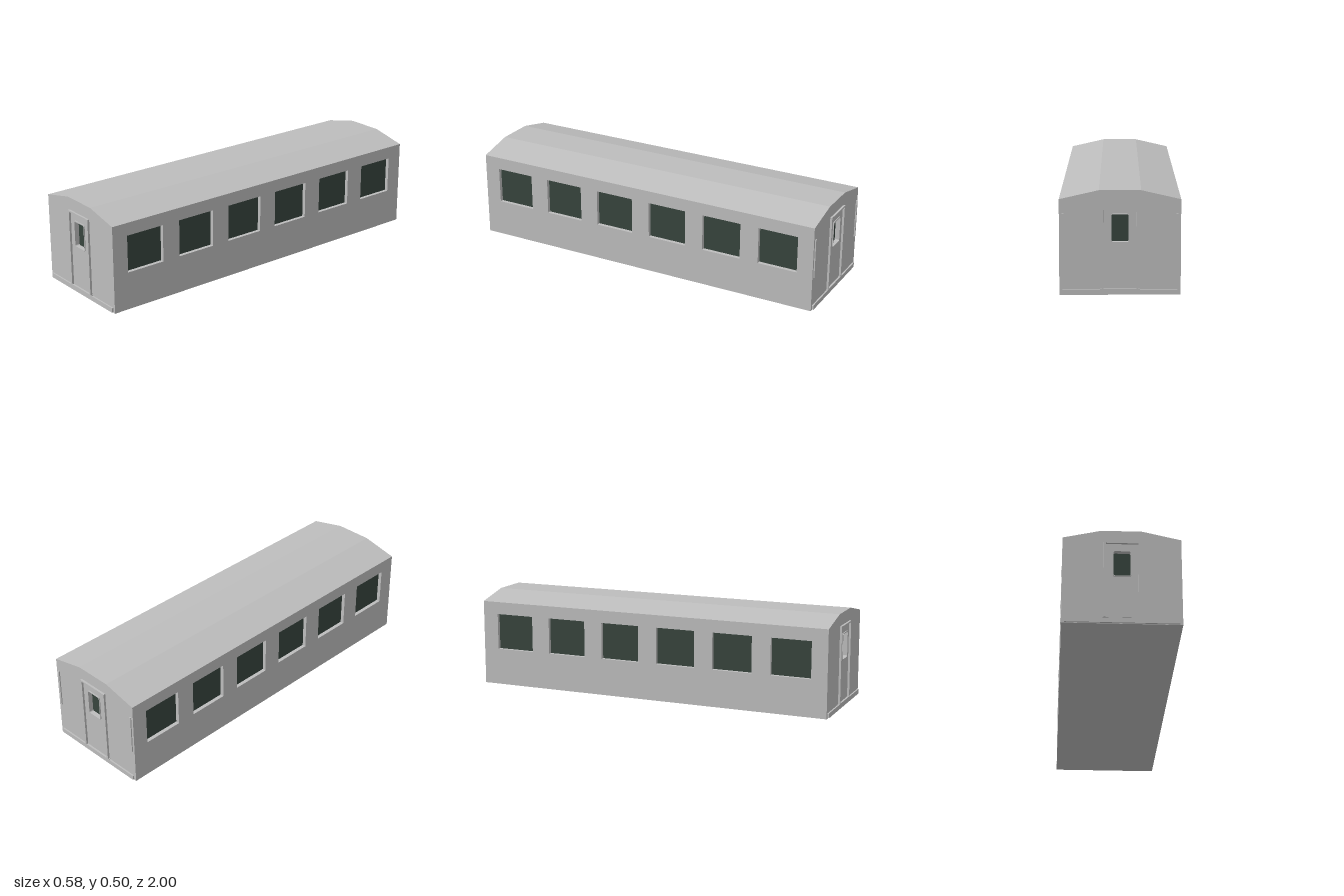
import * as THREE from 'three';

const HALF_W = 0.289, HALF_L = 0.989, WALL = 0.02, EAVE = 0.462, TOP = 0.505, RIDGE = 0.1, ROOF = 0.012;

const paint = new THREE.MeshStandardMaterial({ color: 0xbdbdbd });
paint.name = 'grey paint';
const glass = new THREE.MeshStandardMaterial({ color: 0x37443d });
glass.name = 'dark green glass';

function add(parent, name, geometry, material, x = 0, y = 0, z = 0) {
  const mesh = new THREE.Mesh(geometry, material);
  mesh.name = name;
  mesh.position.set(x, y, z);
  parent.add(mesh);
  return mesh;
}

function box(parent, name, material, w, h, d, x, y, z) {
  return add(parent, name, new THREE.BoxGeometry(w, h, d), material, x, y, z);
}

function extrude(shape, depth) {
  return new THREE.ExtrudeGeometry(shape, { depth, bevelEnabled: false, curveSegments: 4 });
}

function polygon(points) {
  return new THREE.Shape(points.map(([x, y]) => new THREE.Vector2(x, y)));
}

function rect(x0, y0, x1, y1) {
  return polygon([[x0, y0], [x1, y0], [x1, y1], [x0, y1]]);
}

function roundRect(x0, y0, x1, y1, r) {
  const s = new THREE.Shape();
  s.absarc(x1 - r, y0 + r, r, -Math.PI / 2, 0);
  s.absarc(x1 - r, y1 - r, r, 0, Math.PI / 2);
  s.absarc(x0 + r, y1 - r, r, Math.PI / 2, Math.PI);
  s.absarc(x0 + r, y0 + r, r, Math.PI, Math.PI * 1.5);
  s.closePath();
  return s;
}

// Long side with six recessed windows, facing +x
function makeSide(name) {
  const side = new THREE.Group();
  side.name = name;
  const len = HALF_L - WALL;
  const wall = rect(-len, 0, len, EAVE - ROOF);
  for (let i = 0; i < 6; i++) {
    const c = (i - 2.5) * 0.318;
    wall.holes.push(rect(c - 0.108, 0.199, c + 0.108, 0.395));
    box(side, 'sideWindow', glass, 0.004, 0.21, 0.23, HALF_W - WALL - 0.002, 0.297, c);
  }
  add(side, 'sideWall', extrude(wall, WALL).rotateY(Math.PI / 2), paint, HALF_W - WALL);
  return side;
}

// End wall with door, trim and step, facing +z
function makeEnd(name) {
  const end = new THREE.Group();
  end.name = name;
  const wall = polygon([[-HALF_W, 0], [HALF_W, 0], [HALF_W, EAVE - ROOF],
    [RIDGE, TOP - ROOF], [-RIDGE, TOP - ROOF], [-HALF_W, EAVE - ROOF]]);
  wall.holes.push(roundRect(-0.041, 0.257, 0.041, 0.39, 0.007));
  add(end, 'endWall', extrude(wall, WALL), paint, 0, 0, HALF_L - WALL);
  box(end, 'doorWindow', glass, 0.1, 0.15, 0.004, 0, 0.3235, HALF_L - WALL - 0.002);

  // Raised door surround, open at the bottom
  const trim = polygon([[-0.089, 0.03], [-0.079, 0.03], [-0.079, 0.432], [0.079, 0.432],
    [0.079, 0.03], [0.089, 0.03], [0.089, 0.44], [-0.089, 0.44]]);
  add(end, 'doorFrame', extrude(trim, 0.011), paint, 0, 0, HALF_L);

  const ring = roundRect(-0.045, 0.252, 0.045, 0.395, 0.011);
  ring.holes.push(roundRect(-0.041, 0.257, 0.041, 0.39, 0.007));
  add(end, 'doorWindowFrame', extrude(ring, 0.005), paint, 0, 0, HALF_L);

  box(end, 'doorSill', paint, 0.188, 0.004, 0.01, 0, 0.03, HALF_L + 0.005);
  add(end, 'buffer', extrude(roundRect(-0.275, 0.003, 0.275, 0.028, 0.003), 0.008), paint, 0, 0, HALF_L);
  return end;
}

export function createModel() {
  const car = new THREE.Group();
  car.name = 'railwayCarriage';

  // Shallow three-facet roof
  const roof = polygon([[-HALF_W, EAVE - ROOF], [-RIDGE, TOP - ROOF], [RIDGE, TOP - ROOF],
    [HALF_W, EAVE - ROOF], [HALF_W, EAVE], [RIDGE, TOP], [-RIDGE, TOP], [-HALF_W, EAVE]]);
  add(car, 'roof', extrude(roof, HALF_L * 2), paint, 0, 0, -HALF_L);

  // Floor between the walls
  box(car, 'floor', paint, (HALF_W - WALL) * 2, 0.02, (HALF_L - WALL) * 2, 0, 0.01, 0);

  // Sides and ends
  const left = makeSide('leftSide');
  const right = makeSide('rightSide');
  right.rotation.y = Math.PI;
  const front = makeEnd('frontEnd');
  const back = makeEnd('backEnd');
  back.rotation.y = Math.PI;

  // Handrails on the back end only
  for (const s of [-1, 1]) {
    box(back, 'handrail', paint, 0.01, 0.21, 0.006, s * 0.272, 0.29, HALF_L + 0.003);
  }

  car.add(left, right, front, back);
  return car;
}
